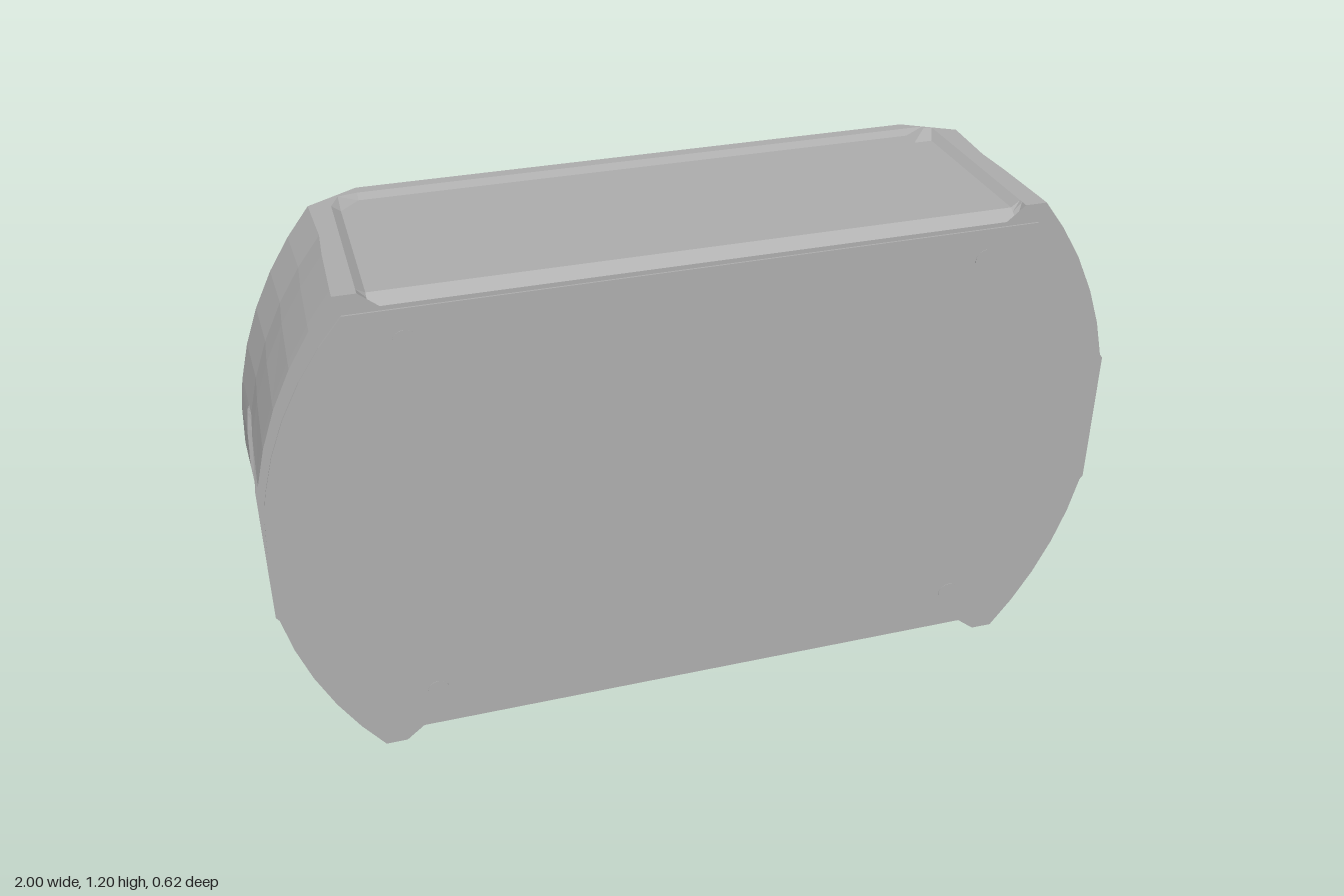
import * as THREE from 'three';

const CY = 0.6; // mid height of the case
const clamp = THREE.MathUtils.clamp;

// bulging side: x at a vertical offset from the middle
const sideX = (d) => 0.055 + Math.sqrt(0.945 ** 2 - d * d);
// half height tapers slightly toward the back
const halfHeight = (z) => 0.6 - 0.015 * (0.305 - z) / 0.545;

const OFFSETS = [0.6, 0.53, 0.45, 0.36, 0.27, 0.18, 0.17, 0.16, 0.145, 0.1];
const SIDE = [...OFFSETS.map((d) => -d), 0, ...OFFSETS.slice().reverse()];
const TOP_HALF = [0.735, 0.715, 0.67];
const TOP = [...TOP_HALF, 0, ...TOP_HALF.slice().reverse().map((x) => -x)];
const SIDE_Z = [0.305, 0.285, 0.275, 0.1, 0, -0.02, -0.03, -0.04, -0.05, -0.06, -0.07, -0.165];
const TOP_Z = [0.305, 0.285, 0.275, 0.1, 0, -0.05, -0.1, -0.13, -0.15, -0.2, -0.21, -0.24];

// grip recess with rounded rear corners
function inGrip(d, z) {
  if (Math.abs(d) > 0.171 || z < -0.051) return false;
  const a = Math.max(Math.abs(d) - 0.14, 0);
  const b = Math.max(-0.02 - z, 0);
  return Math.hypot(a, b) < 0.034;
}

function sidePoint(d, z) {
  const pinch = 0.008 * Math.max(0, 1 - Math.abs(z) / 0.16);
  const x = inGrip(d, z) ? 0.968 + 0.022 * (z + 0.06) / 0.365 : sideX(d) - pinch;
  return [x, CY + d * halfHeight(z) / 0.6, z];
}

// flat top with a shallow sunken panel and a bevelled front edge
function topPoint(x, zWanted) {
  const edge = -0.165 - 0.075 * clamp((0.785 - Math.abs(x)) / 0.115, 0, 1);
  const z = Math.max(zWanted, edge);
  let y = halfHeight(z);
  if (Math.abs(x) < 0.72 && z > edge + 0.035) {
    y -= 0.015 + 0.02 * clamp((z - 0.275) / 0.03, 0, 1);
  }
  return [x, CY + y, z];
}

// one closed outline, counter-clockwise seen from the front
function makeRing(side, top) {
  const flip = ([x, y, z]) => [-x, 2 * CY - y, z];
  const half = [...SIDE.map(side), ...TOP.map(top)];
  return [...half, ...half.map(flip)];
}

function loft(rings) {
  const n = rings[0].length;
  const pos = rings.flat(2);
  const index = [];
  for (let k = 0; k < rings.length - 1; k++) {
    for (let i = 0; i < n; i++) {
      const j = (i + 1) % n;
      const a = k * n + i, b = k * n + j, c = a + n, d = b + n;
      index.push(a, c, b, b, c, d);
    }
  }
  // end caps
  const last = (rings.length - 1) * n;
  const front = rings.length * n;
  pos.push(0, CY, rings[0][0][2], 0, CY, rings[rings.length - 1][0][2]);
  for (let i = 0; i < n; i++) {
    const j = (i + 1) % n;
    index.push(front, i, j, front + 1, last + j, last + i);
  }
  const geo = new THREE.BufferGeometry();
  geo.setAttribute('position', new THREE.Float32BufferAttribute(pos, 3));
  geo.setIndex(index);
  const flat = geo.toNonIndexed();
  flat.computeVertexNormals();
  return flat;
}

export function createModel() {
  const group = new THREE.Group();
  group.name = 'enclosure';
  const grey = new THREE.MeshStandardMaterial({ color: 0xb0b0b0 });
  grey.name = 'grey';
  const add = (name, geo, x = 0, y = 0, z = 0) => {
    const mesh = new THREE.Mesh(geo, grey);
    mesh.name = name;
    mesh.position.set(x, y, z);
    group.add(mesh);
    return mesh;
  };

  // shell, ending in a smaller back face behind a wide bevel
  const rings = SIDE_Z.map((z, k) => makeRing((d) => sidePoint(d, z), (x) => topPoint(x, TOP_Z[k])));
  rings.push(makeRing(
    (d) => {
      const y = 0.507 * d / 0.6;
      return [0.1025 + Math.sqrt(0.7375 ** 2 - y * y), CY + y, -0.31];
    },
    (x) => [clamp(x, -0.64, 0.64), CY + 0.507, -0.31],
  ));
  add('shell', loft(rings));

  // thin front lid
  const right = SIDE.map((d) => new THREE.Vector2(sideX(d) - 0.014, CY + d * 0.925));
  const left = right.map((p) => new THREE.Vector2(-p.x, 2 * CY - p.y));
  const lid = new THREE.ExtrudeGeometry(new THREE.Shape([...right, ...left]), { depth: 0.005, bevelEnabled: false });
  add('frontLid', lid, 0, 0, 0.304);

  // screw plugs in the lid corners
  for (const x of [-0.65, 0.65]) {
    for (const y of [0.14, 1.08]) {
      const plug = add('screwPlug', new THREE.CylinderGeometry(0.026, 0.026, 0.003, 16), x, y, 0.3085);
      plug.rotation.x = Math.PI / 2;
    }
  }
  return group;
}
